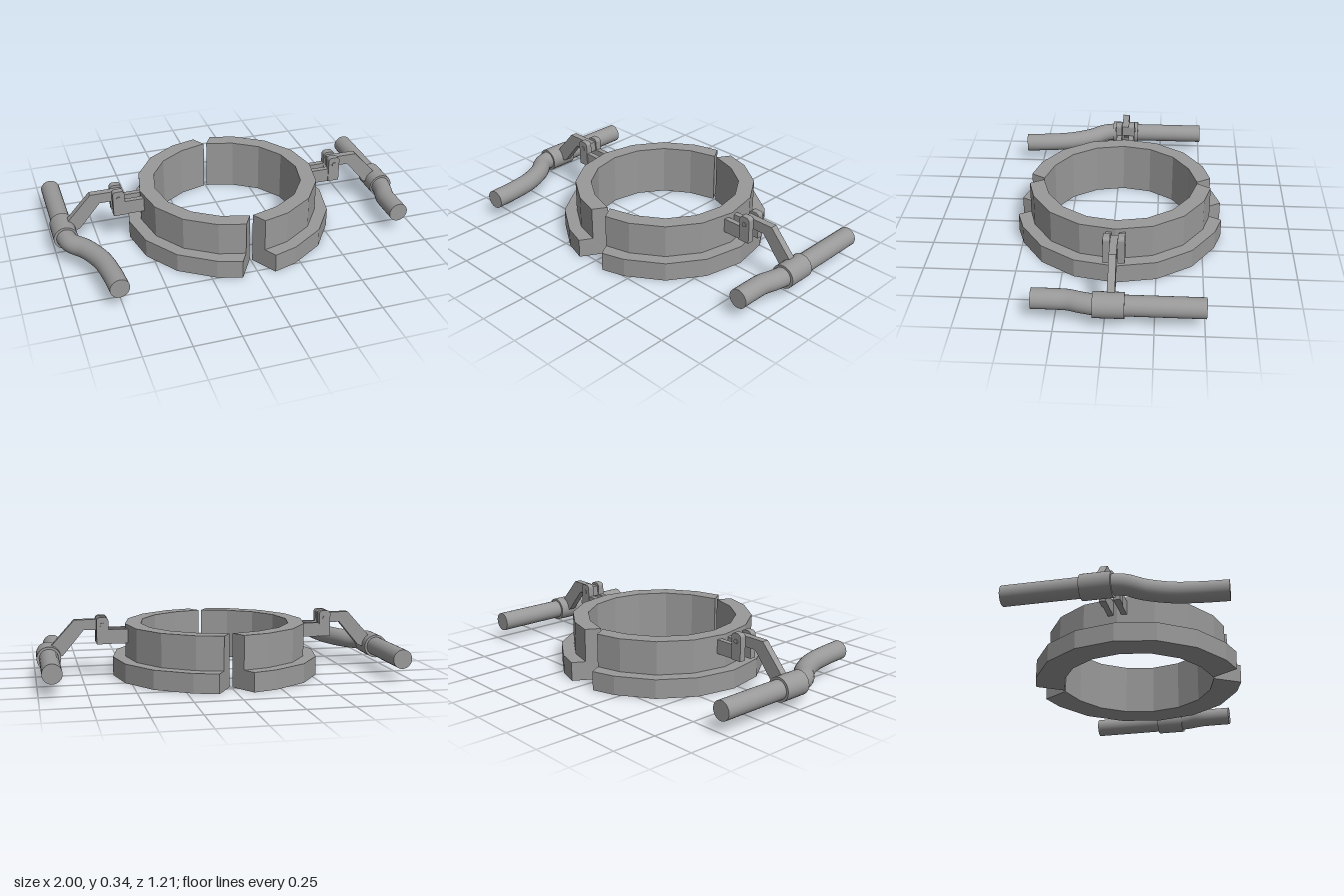
import * as THREE from 'three';

const CENTER_Z = -0.035;

// Half ring on the +x side: an L-shaped section swept round a 16-sided outline
function halfRingGeometry() {
  const inner = 0.417, mid = 0.505, outer = 0.575;
  const section = [[0, 0], [2, 0], [2, 0.105], [1, 0.105], [1, 0.288], [0, 0.288]];
  // slanted end faces, given as x and z for inner, middle and outer edge
  const ends = [[0.008, 0.43], [0.053, 0.505], [0.092, 0.572]];
  const radii = [inner, mid, outer];
  const stations = [];
  for (let i = -4; i <= 4; i++) {
    stations.push(section.map(([k, y]) => {
      if (Math.abs(i) === 4) return [ends[k][0], y, Math.sign(i) * ends[k][1]];
      const a = i * Math.PI / 8;
      return [radii[k] * Math.cos(a), y, radii[k] * Math.sin(a)];
    }));
  }
  const pos = [];
  const tri = (a, b, c) => pos.push(...a, ...b, ...c);
  const n = section.length;
  for (let i = 0; i < stations.length - 1; i++) {
    for (let j = 0; j < n; j++) {
      const a = stations[i][j], b = stations[i][(j + 1) % n];
      const c = stations[i + 1][(j + 1) % n], d = stations[i + 1][j];
      tri(a, b, c);
      tri(a, c, d);
    }
  }
  // end faces: lower block and upper block
  const cap = (p, flip) => {
    const faces = [[0, 1, 2], [0, 2, 3], [0, 3, 4], [0, 4, 5]];
    for (const [a, b, c] of faces) flip ? tri(p[a], p[b], p[c]) : tri(p[a], p[c], p[b]);
  };
  cap(stations[0], false);
  cap(stations[stations.length - 1], true);
  const g = new THREE.BufferGeometry();
  g.setAttribute('position', new THREE.Float32BufferAttribute(pos, 3));
  g.computeVertexNormals();
  return g;
}

// Flat profile in x and y, given a thickness centred on z
function plateGeometry(shape, thickness, z) {
  const g = new THREE.ExtrudeGeometry(shape, { depth: thickness, bevelEnabled: false, curveSegments: 6 });
  return g.translate(0, 0, z - thickness / 2);
}

function polygon(points) {
  return new THREE.Shape(points.map(([x, y]) => new THREE.Vector2(x, y)));
}

// Upright hinge lug with a rounded top
function lugShape() {
  const s = new THREE.Shape();
  const x0 = 0.602, x1 = 0.667, y0 = 0.187, y1 = 0.335, r = 0.02;
  s.moveTo(x0, y0);
  s.lineTo(x1, y0);
  s.lineTo(x1, y1 - r);
  s.absarc(x1 - r, y1 - r, r, 0, Math.PI / 2, false);
  s.lineTo(x0 + r, y1);
  s.absarc(x0 + r, y1 - r, r, Math.PI / 2, Math.PI, false);
  s.closePath();
  return s;
}

export function createModel() {
  const model = new THREE.Group();
  model.name = 'splitClampRing';
  const steel = new THREE.MeshStandardMaterial({ color: 0x999999 });
  steel.name = 'steel grey';

  const add = (parent, name, geometry) => {
    const m = new THREE.Mesh(geometry, steel);
    m.name = name;
    parent.add(m);
    return m;
  };

  const ring = halfRingGeometry();
  const armShape = polygon([[0.47, 0.187], [0.61, 0.187], [0.61, 0.266], [0.47, 0.266]]);
  const leverShape = polygon([
    [0.61, 0.262], [0.735, 0.262], [0.85, 0.125], [0.91, 0.1],
    [0.94, 0.15], [0.785, 0.32], [0.61, 0.32],
  ]);

  // Each side: half ring, hinge fork, pin and cranked lever
  for (const side of [1, -1]) {
    const half = new THREE.Group();
    half.name = side > 0 ? 'leftHalf' : 'rightHalf';
    half.position.z = CENTER_Z;
    if (side < 0) half.rotation.y = Math.PI;
    add(half, 'halfRing', ring);
    for (const z of [1, -1]) {
      add(half, 'hingeArm', plateGeometry(armShape, 0.03, z * 0.036));
      add(half, 'hingeLug', plateGeometry(lugShape(), 0.036, z * 0.038));
    }
    const pin = add(half, 'hingePin', new THREE.CylinderGeometry(0.013, 0.013, 0.122, 12));
    pin.rotation.x = Math.PI / 2;
    pin.position.set(0.635, 0.292, 0);
    add(half, 'lever', plateGeometry(leverShape, 0.038, 0));
    model.add(half);
  }

  // Handle: straight bar, sleeve and bent front end
  const handle = (name, x, path) => {
    const g = new THREE.Group();
    g.name = name;
    const y = 0.119, r = 0.053;
    const rod = (part, radius, z0, z1) => {
      const m = add(g, part, new THREE.CylinderGeometry(radius, radius, z1 - z0, 32));
      m.rotation.x = Math.PI / 2;
      m.position.set(x, y, (z0 + z1) / 2);
    };
    rod('handleBar', r, -0.505, 0);
    rod('handleSleeve', 0.066, -0.103, 0.055);
    const curve = new THREE.CatmullRomCurve3(
      [[x, -0.05], [x, 0.04], ...path].map(([px, pz]) => new THREE.Vector3(px, y, pz)));
    add(g, 'handleBend', new THREE.TubeGeometry(curve, 32, r, 32));
    const end = add(g, 'handleEnd', new THREE.CircleGeometry(r, 32));
    end.position.copy(curve.getPoint(1));
    end.quaternion.setFromUnitVectors(new THREE.Vector3(0, 0, 1), curve.getTangent(1));
    model.add(g);
  };
  handle('leftHandle', 0.928, [[0.914, 0.115], [0.896, 0.18], [0.893, 0.25], [0.893, 0.363]]);
  handle('rightHandle', -0.943,
    [[-0.925, 0.11], [-0.86, 0.19], [-0.8, 0.32], [-0.775, 0.455], [-0.763, 0.597]]);

  return model;
}
